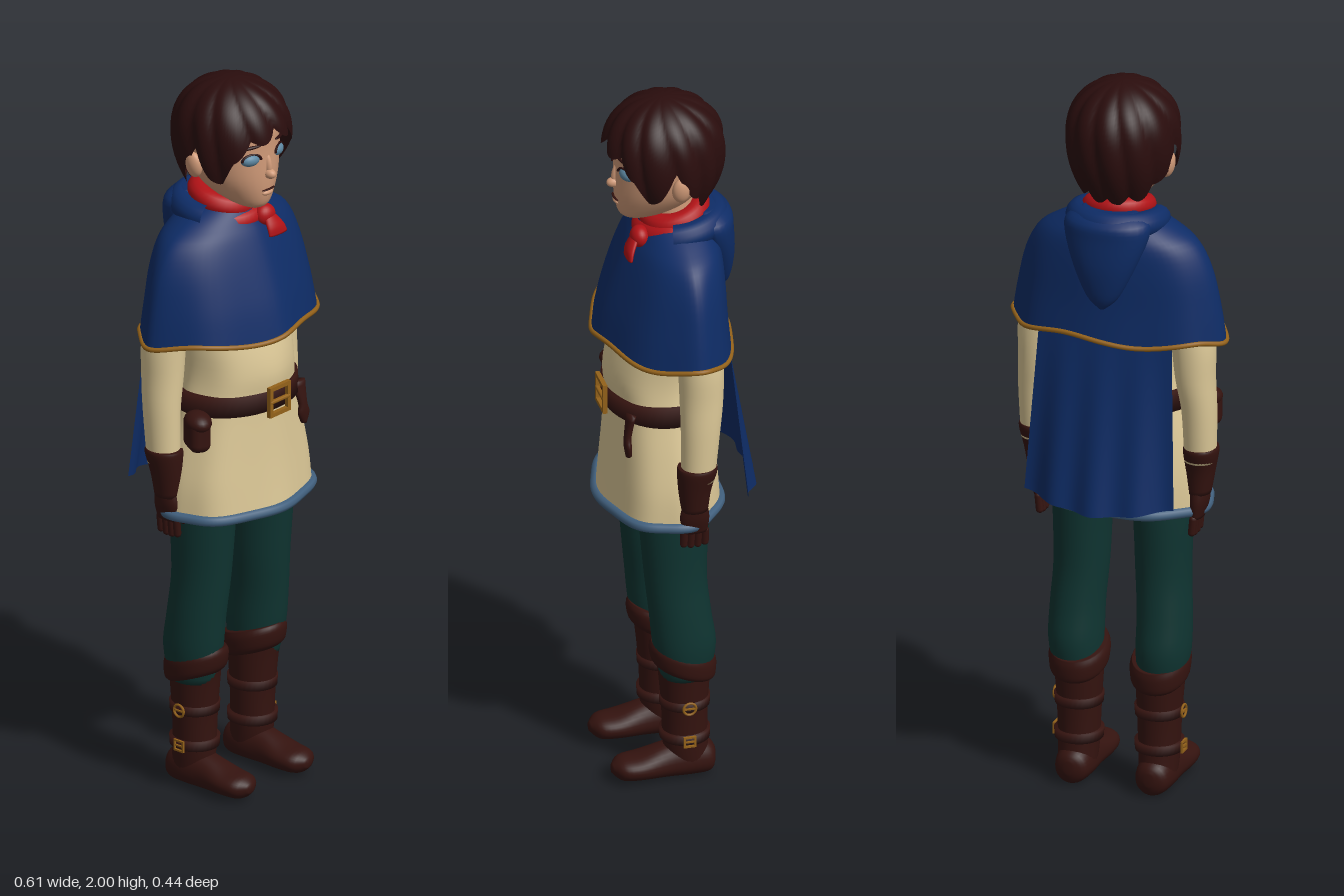
import * as THREE from 'three';
import { RoundedBoxGeometry } from 'three/addons/geometries/RoundedBoxGeometry.js';

const mat = (name, color, side = THREE.FrontSide) => {
  const m = new THREE.MeshStandardMaterial({ color, side });
  m.name = name;
  return m;
};

// smooth in-between of rows of numbers
function smoothRows(rows, steps) {
  const at = i => rows[Math.max(0, Math.min(rows.length - 1, i))];
  const out = [];
  for (let i = 0; i < rows.length - 1; i++)
    for (let k = 0; k < steps; k++) {
      const u = k / steps;
      out.push(rows[i].map((p1, c) => {
        const p0 = at(i - 1)[c], p2 = at(i + 1)[c], p3 = at(i + 2)[c];
        return p1 + 0.5 * u * (p2 - p0 + u * (2 * p0 - 5 * p1 + 4 * p2 - p3 + u * (3 * (p1 - p2) + p3 - p0)));
      }));
    }
  out.push(rows[rows.length - 1]);
  return out;
}

// closed columns of points joined into a skin; at(t, row) gives a point
function skin(rows, N, at, caps) {
  const pos = [], idx = [];
  for (let j = 0; j < rows; j++)
    for (let i = 0; i < N; i++) pos.push(...at(i / N * Math.PI * 2, j));
  for (let j = 0; j < rows - 1; j++)
    for (let i = 0; i < N; i++) {
      const a = j * N + i, b = j * N + (i + 1) % N;
      idx.push(a, b, b + N, a, b + N, a + N);
    }
  if (caps) for (const [j, flip] of [[0, true], [rows - 1, false]]) {
    const c = [0, 0, 0], id = pos.length / 3;
    for (let i = 0; i < N * 3; i++) c[i % 3] += pos[j * N * 3 + i] / N;
    pos.push(...c);
    for (let i = 0; i < N; i++) {
      const a = j * N + i, b = j * N + (i + 1) % N;
      idx.push(...(flip ? [id, b, a] : [id, a, b]));
    }
  }
  const g = new THREE.BufferGeometry();
  g.setAttribute('position', new THREE.Float32BufferAttribute(pos, 3));
  g.setIndex(idx);
  g.computeVertexNormals();
  return g;
}

// sections from low to high: [y, x, z, half width, depth to front, depth to back]
function loft(sections, { N = 32, steps = 4, caps = true, nf = 2, fold = 0, folds = 7, wave = 0, shear = 0 } = {}) {
  const rows = smoothRows(sections, steps);
  const pw = (v, n) => Math.sign(v) * Math.abs(v) ** (2 / n);
  return skin(rows.length, N, (t, j) => {
    const [y, cx, cz, rx, rf, rb] = rows[j];
    const low = 1 - j / (rows.length - 1);
    const s = Math.sin(t), c = Math.cos(t), n = c > 0 ? nf : 2.1;
    const k = 1 + fold * low * Math.cos(folds * t);
    const z = pw(c, n) * (c > 0 ? rf : rb) * k;
    return [cx + pw(s, n) * rx * k, y + wave * low ** 3 * Math.sin(5 * t) + shear * z, cz + z];
  }, caps);
}

// cord along the lowest ring of a loft
function hemCord(geo, N, radius) {
  const p = geo.attributes.position;
  const pts = Array.from({ length: N }, (_, i) => new THREE.Vector3().fromBufferAttribute(p, i));
  return new THREE.TubeGeometry(new THREE.CatmullRomCurve3(pts, true), N * 2, radius, 8, true);
}

// open rectangular buckle frame
function frame(w, h, bar, depth) {
  const rect = (S, a, b) => new S().moveTo(-a, -b).lineTo(a, -b).lineTo(a, b).lineTo(-a, b).closePath();
  const s = rect(THREE.Shape, w / 2, h / 2);
  s.holes.push(rect(THREE.Path, w / 2 - bar, h / 2 - bar));
  return new THREE.ExtrudeGeometry(s, { depth, bevelEnabled: false });
}

export function createModel() {
  const root = new THREE.Group();
  root.name = 'hoodedTraveller';
  const D = THREE.DoubleSide;
  const blue = mat('capeBlue', 0x0e2c66, D), hairM = mat('hairBrown', 0x2a0d0d, D);
  const leather = mat('leather', 0x34130f), green = mat('trouserGreen', 0x0f3431);
  const cream = mat('tunicCream', 0xdcc897, D), red = mat('scarfRed', 0xb01216, D);
  const gold = mat('gold', 0x94621a), skinM = mat('skin', 0xd09a78);
  const trim = mat('hemBlue', 0x42617f), eyeM = mat('eyeBlue', 0x5c86a0);

  const add = (name, geo, m, p = [0, 0, 0], s = [1, 1, 1], r = [0, 0, 0]) => {
    const mesh = new THREE.Mesh(geo, m);
    mesh.name = name;
    mesh.position.set(...p); mesh.scale.set(...s); mesh.rotation.set(...r);
    root.add(mesh);
    return mesh;
  };
  const ball = new THREE.SphereGeometry(1, 24, 16);

  // head and face
  add('neck', new THREE.CylinderGeometry(0.055, 0.06, 0.16, 24), skinM, [0, 1.65, 0]);
  add('head', loft([
    [1.65, 0, 0.10, 0.015, 0.02, 0.04], [1.665, 0, 0.085, 0.045, 0.058, 0.08], [1.70, 0, 0.05, 0.078, 0.104, 0.1],
    [1.75, 0, 0.03, 0.107, 0.127, 0.11], [1.82, 0, 0.03, 0.12, 0.125, 0.125], [1.89, 0, 0.03, 0.12, 0.122, 0.125],
    [1.95, 0, 0.03, 0.08, 0.08, 0.08]]), skinM);
  add('nose', ball, skinM, [0, 1.758, 0.158], [0.014, 0.014, 0.02]);
  add('noseBridge', ball, skinM, [0, 1.785, 0.15], [0.01, 0.034, 0.014], [-0.2, 0, 0]);
  add('mouth', ball, leather, [0, 1.713, 0.154], [0.024, 0.0025, 0.007]);
  add('lowerLip', ball, skinM, [0, 1.703, 0.15], [0.02, 0.008, 0.01]);
  for (const s of [1, -1]) {
    add('eye', ball, eyeM, [s * 0.052, 1.806, 0.136], [0.027, 0.017, 0.017], [0, s * 0.35, 0]);
    add('upperLid', new THREE.TorusGeometry(0.027, 0.004, 6, 16, Math.PI), hairM,
      [s * 0.053, 1.806, 0.143], [1, 0.65, 1], [0, s * 0.4, 0]);
    add('eyebrow', ball, hairM, [s * 0.055, 1.843, 0.141], [0.03, 0.005, 0.007], [0, s * 0.45, -s * 0.08]);
    add('ear', ball, skinM, [s * 0.132, 1.783, 0.01], [0.018, 0.037, 0.025], [0, 0, -s * 0.15]);
  }

  // hair: a shell with a shaped lower edge and swirling locks
  const edge = [[0, 1.87], [0.5, 1.85], [0.85, 1.81], [1.05, 1.72], [1.3, 1.76], [1.55, 1.82],
    [1.85, 1.76], [2.2, 1.70], [3.2, 1.68]];
  const hairline = a => {
    const i = Math.max(1, edge.findIndex(e => e[0] >= a)), [a0, y0] = edge[i - 1], [a1, y1] = edge[i];
    return y0 + (y1 - y0) * (a - a0) / (a1 - a0);
  };
  add('hair', skin(26, 120, (t, j) => {
    const v = j / 25, a = t > Math.PI ? 2 * Math.PI - t : t;
    const lock = Math.abs(Math.sin(6 * t + 2.6 * v));
    const low = hairline(a) + 0.022 * (1 - lock);
    const y = low + (2.0 - low) * Math.sin(v * Math.PI / 2);
    const d = y - 1.84;
    const base = d > 0 ? Math.sqrt(Math.max(0, 1 - (d / 0.16) ** 2.4)) : 1 - 0.33 * (d / 0.16) ** 2;
    const r = base * (0.94 + 0.07 * lock);
    const c = Math.cos(t);
    return [0.152 * r * Math.sin(t), y, 0.025 + (c > 0 ? 0.162 : 0.166) * r * c];
  }, false), hairM);

  // scarf
  const wrap = new THREE.TorusGeometry(0.07, 0.034, 14, 40).rotateX(Math.PI / 2);
  add('scarfLower', wrap, red, [0, 1.622, 0.005], [1.02, 0.9, 1], [0.22, 0, 0.08]);
  add('scarfUpper', wrap, red, [0, 1.655, -0.005], [0.95, 0.85, 0.93], [0.25, 0, -0.1]);
  add('scarfKnot', ball, red, [0.045, 1.61, 0.1], [0.032, 0.03, 0.026]);
  add('scarfTail', loft([[1.56, 0.06, 0.135, 0.034, 0.008, 0.008], [1.585, 0.055, 0.128, 0.03, 0.012, 0.01],
    [1.62, 0.045, 0.108, 0.016, 0.012, 0.012]]), red);

  // shoulder mantle, hood and cloak
  const mantle = loft([
    [1.312, 0, 0, 0.293, 0.212, 0.138], [1.40, 0, 0, 0.28, 0.19, 0.13], [1.50, 0, 0, 0.258, 0.155, 0.125],
    [1.57, 0, 0, 0.222, 0.125, 0.118], [1.61, 0, 0, 0.165, 0.102, 0.105], [1.65, 0, 0, 0.085, 0.08, 0.085]],
  { N: 72, caps: false, nf: 1.75, fold: 0.015, folds: 8, wave: 0.008 });
  add('mantle', mantle, blue);
  add('mantleTrim', hemCord(mantle, 72, 0.007), gold);
  add('hoodBag', loft([
    [1.405, 0, -0.13, 0.008, 0.01, 0.008], [1.44, 0, -0.125, 0.045, 0.03, 0.03], [1.52, 0, -0.115, 0.085, 0.05, 0.05],
    [1.60, 0, -0.095, 0.115, 0.05, 0.066], [1.645, 0, -0.08, 0.115, 0.04, 0.075], [1.672, 0, -0.07, 0.07, 0.02, 0.045]]), blue);
  add('hoodCollar', new THREE.TorusGeometry(0.103, 0.036, 14, 40, Math.PI * 1.2)
    .rotateZ(-Math.PI * 0.1).rotateX(-Math.PI / 2), blue, [0, 1.625, -0.012], [1, 1, 1], [0.12, 0, 0]);
  const cloak = new THREE.PlaneGeometry(2, 1, 40, 20);
  const cp = cloak.attributes.position;
  for (let i = 0; i < cp.count; i++) {
    const u = cp.getX(i), v = 0.5 - cp.getY(i);
    const z = -0.102 - 0.05 * v - (0.015 + 0.045 * v) * Math.cos(u * Math.PI / 2) - 0.008 * v * Math.cos(u * 11);
    cp.setXYZ(i, u * (0.185 + 0.025 * v), 1.36 - 0.5 * v - 0.018 * v * Math.cos(u * 2), z);
  }
  cloak.computeVertexNormals();
  add('cloak', cloak, blue);

  // tunic and belt
  const tunic = loft([
    [0.815, 0, 0.04, 0.232, 0.158, 0.153], [0.90, 0, 0.04, 0.225, 0.15, 0.148], [1.0, 0, 0.04, 0.203, 0.143, 0.14],
    [1.12, 0, 0.04, 0.172, 0.138, 0.128], [1.2, 0, 0.04, 0.16, 0.143, 0.122], [1.3, 0, 0.03, 0.165, 0.13, 0.115],
    [1.45, 0, 0, 0.17, 0.11, 0.1], [1.55, 0, 0, 0.12, 0.08, 0.08]], { N: 72, caps: false, fold: 0.022 });
  add('tunic', tunic, cream);
  add('tunicTrim', hemCord(tunic, 72, 0.014), trim);
  add('belt', loft([[1.095, 0, 0.04, 0.186, 0.147, 0.14], [1.148, 0, 0.04, 0.179, 0.147, 0.136]], { N: 48, steps: 1 }), leather);
  add('beltBuckle', frame(0.08, 0.085, 0.011, 0.012), gold, [0, 1.122, 0.186]);
  add('buckleBar', new RoundedBoxGeometry(0.075, 0.01, 0.012, 2, 0.004), gold, [0, 1.122, 0.194]);
  add('beltTail', loft([[1.0, 0.138, 0.155, 0.008, 0.008, 0.008], [1.03, 0.135, 0.157, 0.02, 0.01, 0.01],
    [1.06, 0.132, 0.156, 0.014, 0.01, 0.01], [1.12, 0.125, 0.145, 0.026, 0.012, 0.012]]), leather);
  add('pouch', new RoundedBoxGeometry(0.06, 0.1, 0.085, 4, 0.024), leather, [-0.208, 1.065, 0.09], [1, 1, 1], [0, -0.5, 0]);
  add('pouchFlap', ball, leather, [-0.208, 1.095, 0.092], [0.036, 0.028, 0.048], [0, -0.5, 0]);

  for (const s of [1, -1]) {
    const x = v => s * v;
    // arms, cuffs and gloved hands
    add('sleeve', loft([
      [0.96, x(0.23), -0.008, 0.042, 0.045, 0.045], [1.1, x(0.23), -0.015, 0.046, 0.052, 0.052],
      [1.2, x(0.221), -0.02, 0.053, 0.058, 0.058], [1.32, x(0.213), -0.02, 0.059, 0.062, 0.06],
      [1.48, x(0.18), -0.01, 0.058, 0.06, 0.06]]), cream);
    add('cuff', loft([
      [0.865, x(0.225), 0, 0.03, 0.036, 0.036], [0.93, x(0.228), 0, 0.039, 0.044, 0.044],
      [0.985, x(0.231), -0.005, 0.047, 0.053, 0.054], [1.0, x(0.231), -0.005, 0.045, 0.051, 0.052]]), leather);
    add('palm', loft([
      [0.795, x(0.22), 0, 0.016, 0.032, 0.036], [0.84, x(0.225), 0, 0.024, 0.042, 0.04],
      [0.88, x(0.226), 0, 0.026, 0.034, 0.034]]), leather);
    for (let i = 0; i < 4; i++)
      add('finger', new THREE.CapsuleGeometry(0.0105, 0.05 - 0.008 * Math.abs(i - 1.5), 4, 10), leather,
        [x(0.216), 0.776, 0.026 - i * 0.019], [1, 1, 1], [0, 0, -s * 0.1]);
    add('thumb', new THREE.CapsuleGeometry(0.012, 0.045, 4, 10), leather, [x(0.213), 0.825, 0.042], [1, 1, 1], [-0.25, 0, 0]);

    // trouser leg
    add('trouserLeg', loft([
      [0.31, x(0.118), 0, 0.062, 0.065, 0.07], [0.4, x(0.123), 0.002, 0.072, 0.082, 0.086], [0.5, x(0.122), 0.012, 0.072, 0.082, 0.083],
      [0.62, x(0.115), 0.022, 0.073, 0.084, 0.083], [0.8, x(0.112), 0.025, 0.079, 0.096, 0.095],
      [0.95, x(0.095), 0.025, 0.09, 0.1, 0.1]]), green);

    // boot
    add('bootShaft', loft([
      [0.04, x(0.113), -0.015, 0.05, 0.06, 0.06], [0.1, x(0.113), -0.005, 0.054, 0.06, 0.06],
      [0.2, x(0.113), -0.002, 0.058, 0.06, 0.062], [0.3, x(0.114), 0, 0.064, 0.066, 0.07],
      [0.36, x(0.116), 0.002, 0.068, 0.072, 0.074]]), leather);
    add('bootCuff', loft([
      [0.315, x(0.114), 0, 0.066, 0.07, 0.074], [0.33, x(0.114), 0.002, 0.077, 0.084, 0.086],
      [0.365, x(0.114), 0.003, 0.08, 0.089, 0.09], [0.385, x(0.115), 0.003, 0.074, 0.082, 0.086]], { shear: 0.32 }), leather);
    add('bootFoot', loft([
      [-0.085, x(0.113), -0.05, 0.012, 0.015, 0.02], [-0.07, x(0.113), -0.047, 0.042, 0.042, 0.045],
      [-0.02, x(0.113), -0.047, 0.052, 0.045, 0.065], [0.05, x(0.113), -0.044, 0.05, 0.04, 0.055],
      [0.12, x(0.113), -0.043, 0.055, 0.037, 0.034], [0.17, x(0.113), -0.042, 0.046, 0.032, 0.028],
      [0.195, x(0.113), -0.042, 0.012, 0.012, 0.01]]).rotateX(Math.PI / 2), leather);
    for (const y of [0.13, 0.23]) {
      add('bootStrap', loft([[y - 0.013, x(0.113), -0.003, 0.064, 0.066, 0.067],
        [y + 0.013, x(0.113), -0.003, 0.066, 0.067, 0.068]], { steps: 1 }), leather);
      const face = [0, s * Math.PI / 2, 0];
      if (y > 0.2) add('roundBuckle', new THREE.TorusGeometry(0.017, 0.0035, 6, 20), gold, [x(0.18), y, 0], [1, 1, 1], face);
      else add('squareBuckle', frame(0.034, 0.032, 0.005, 0.006), gold, [x(0.177), y, 0], [1, 1, 1], face);
      add('bucklePin', new THREE.BoxGeometry(0.03, 0.004, 0.005), gold, [x(0.18), y, 0], [1, 1, 1], face);
    }
  }
  return root;
}
